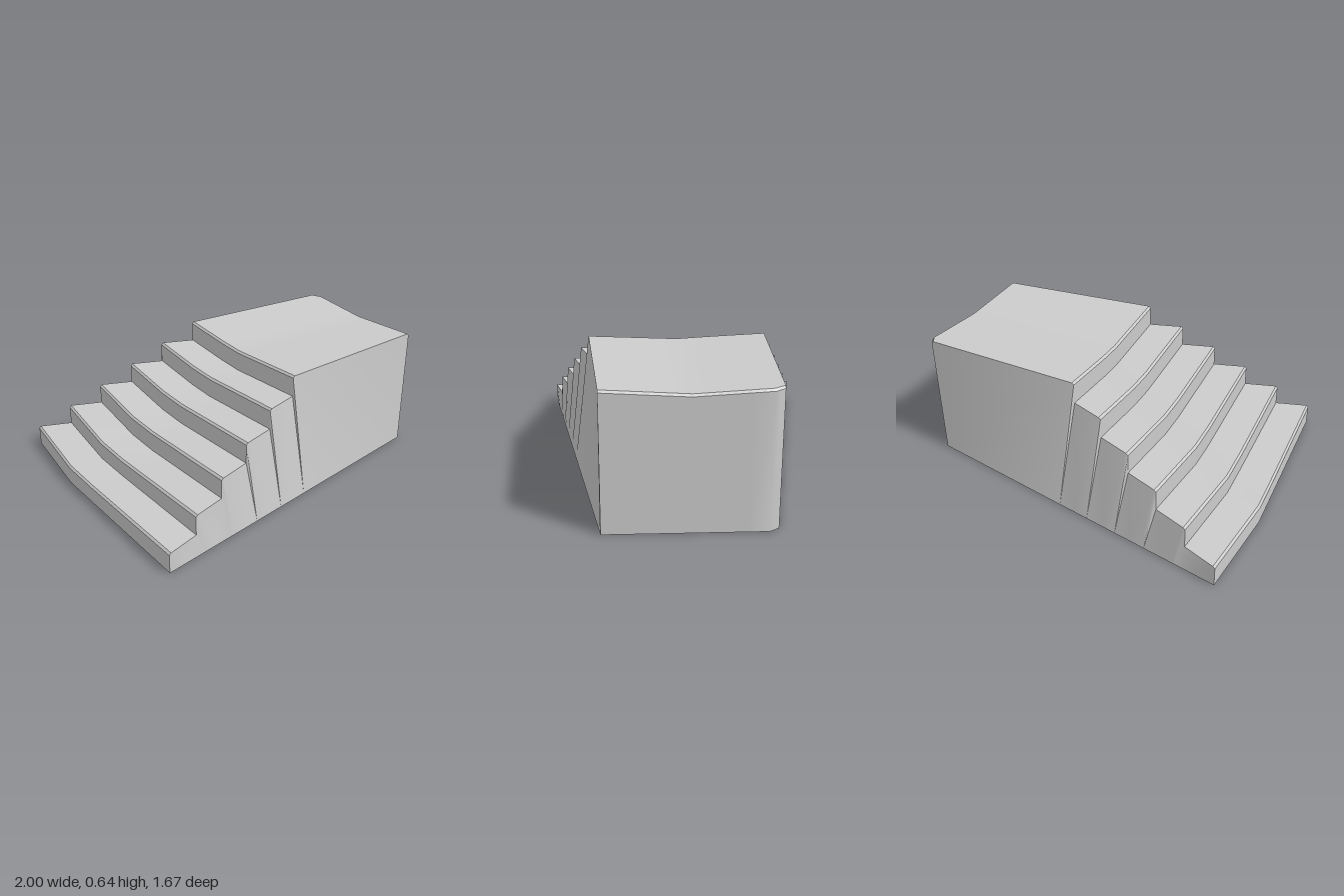
import * as THREE from 'three';
import { toCreasedNormals } from 'three/addons/utils/BufferGeometryUtils.js';

const STEPS = 6, RISE = 0.106, BEVEL = 0.01;
const COLS = [0, 0.03, 0.06, 0.18, 0.34, 0.5, 0.62, 0.75, 0.87, 0.95, 1];
const lerp = THREE.MathUtils.lerp;
const v2 = (x, z) => new THREE.Vector2(x, z);

// Point across the width between two plan corners, bowed by "bow" along the outward side
function across(a, b, u, bow) {
  const p = a.clone().lerp(b, u);
  const d = b.clone().sub(a).normalize();
  return p.add(v2(-d.y, d.x).multiplyScalar(bow));
}

// Front line of step k: corners converge and the bow fades going up
function stepLine(k, u) {
  const f = k / (STEPS - 1);
  const a = v2(lerp(-1, -0.12, f), lerp(-0.43, -0.52, f));
  const b = v2(lerp(-0.4, 0.27, f), lerp(0.83, 0.25, f));
  const bow = u < 0.34 ? u / 0.34 : (1 - u) / 0.66;
  return across(a, b, u, lerp(0.04, 0.008, f) * bow);
}

// Back line, with rounded upright corners
function backLine(u) {
  const bow = u < 0.06 ? u / 0.06 : (1 - u) / 0.94;
  return across(v2(0.65, -0.84), v2(1, -0.17), u, -0.026 * bow);
}

// Worn hollow across the treads
const wear = (y, u) => y < 0.01 ? 0 : (y < 0.12 ? 0.01 : 0.022) * (1 - Math.abs(2 * u - 1));

function meshFrom(name, quads, crease) {
  const pos = [];
  const ab = new THREE.Vector3(), ac = new THREE.Vector3();
  const tri = (a, b, c) => {
    ab.subVectors(b, a);
    ac.subVectors(c, a);
    if (ab.cross(ac).length() > 1e-8) pos.push(...a, ...b, ...c);
  };
  for (const [a, b, c, d] of quads) {
    tri(a, b, c);
    tri(a, c, d);
  }
  let g = new THREE.BufferGeometry();
  g.setAttribute('position', new THREE.Float32BufferAttribute(pos, 3));
  g = toCreasedNormals(g, crease);
  const mesh = new THREE.Mesh(g, new THREE.MeshStandardMaterial({ color: 0xcccccc }));
  mesh.name = name;
  return mesh;
}

export function createModel() {
  const group = new THREE.Group();
  group.name = 'stairBlock';

  // Rows from front to back; t is where the side wall meets the ground
  const rows = [];
  const addRow = (line, y, inset, t) => {
    rows.push({
      t,
      top: COLS.map(u => {
        const p = line(u);
        return new THREE.Vector3(p.x + inset * 0.9, y - wear(y, u), p.y - inset * 0.45);
      }),
      base: COLS.map(u => {
        const p = stepLine(0, u).lerp(backLine(u), t);
        return new THREE.Vector3(p.x, 0, p.y);
      }),
    });
  };
  for (let k = 0; k < STEPS; k++) {
    const line = u => stepLine(k, u), y = (k + 1) * RISE, t = 0.1 * k;
    addRow(line, k * RISE, 0, Math.max(0, t - 0.03));
    addRow(line, y - BEVEL, 0, k ? t + 0.025 : 0);
    addRow(line, y, BEVEL, k ? t + 0.03 : 0.01);
  }
  const H = STEPS * RISE;
  addRow(backLine, H, -BEVEL, 0.99);
  addRow(backLine, H - BEVEL, 0, 1);
  addRow(backLine, 0, 0, 1);

  const treads = [], base = [], sides = [], n = COLS.length - 1;
  for (let i = 0; i < rows.length - 1; i++) {
    const r = rows[i], s = rows[i + 1];
    for (let j = 0; j < n; j++) {
      treads.push([r.top[j], r.top[j + 1], s.top[j + 1], s.top[j]]);
      base.push([r.base[j], s.base[j], s.base[j + 1], r.base[j + 1]]);
    }
    sides.push([r.top[0], s.top[0], s.base[0], r.base[0]]);
    sides.push([r.top[n], r.base[n], s.base[n], s.top[n]]);
  }
  group.add(
    meshFrom('stepsAndPlatform', treads, 0.6),
    meshFrom('sideWalls', sides, 0.9),
    meshFrom('underside', base, 0.5),
  );
  return group;
}
